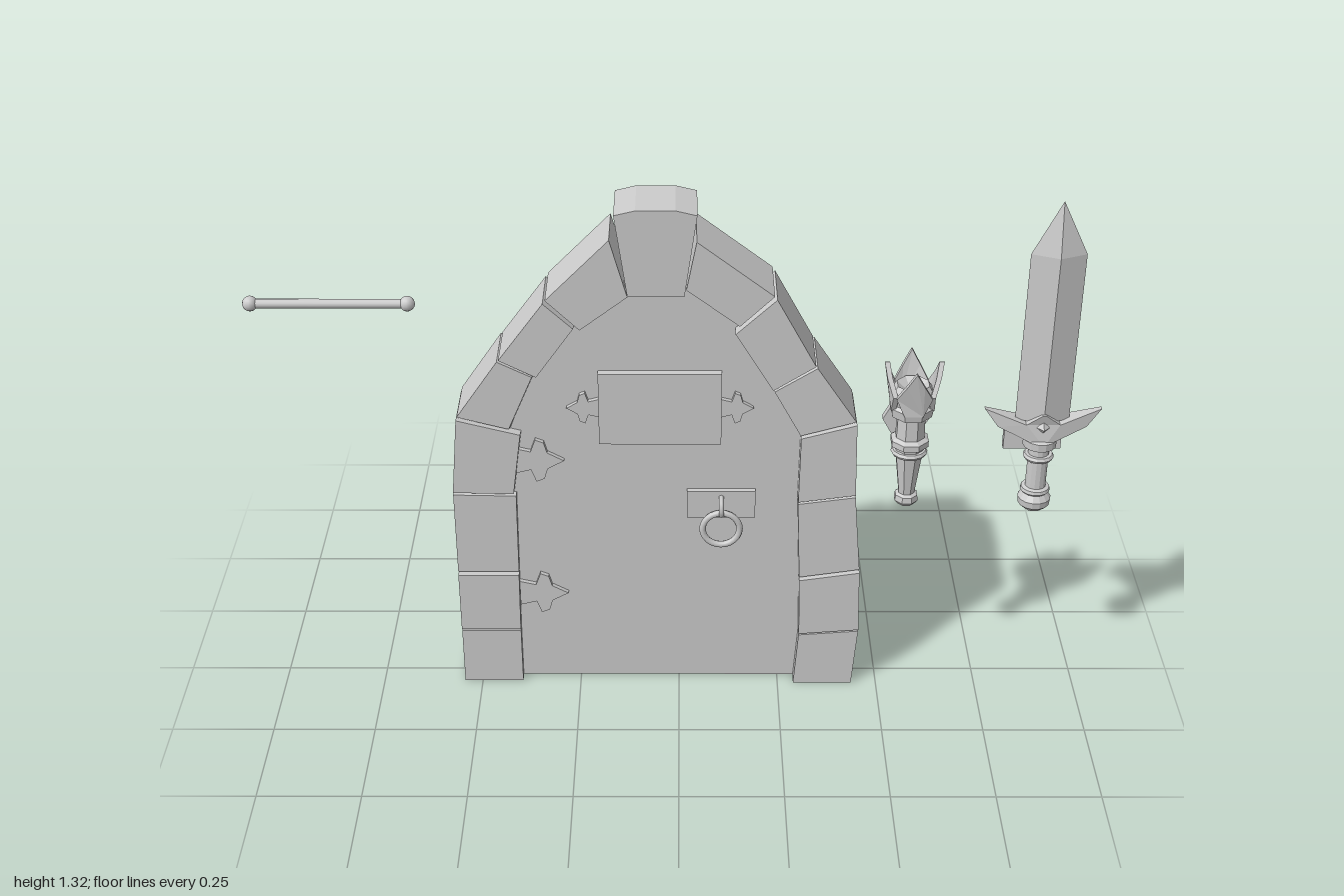
import * as THREE from 'three';

const material = new THREE.MeshStandardMaterial({ color: 0xcccccc, flatShading: true });
const smooth = new THREE.MeshStandardMaterial({ color: 0xcccccc });

function add(parent, name, geometry, x = 0, y = 0, z = 0, mat = material) {
  const mesh = new THREE.Mesh(geometry, mat);
  mesh.name = name;
  mesh.position.set(x, y, z);
  parent.add(mesh);
  return mesh;
}

function group(parent, name, x = 0, y = 0, z = 0) {
  const g = new THREE.Group();
  g.name = name;
  g.position.set(x, y, z);
  parent.add(g);
  return g;
}

// Flat outline extruded from z0 to z1
function prism(points, z0, z1) {
  const shape = new THREE.Shape(points.map(([x, y]) => new THREE.Vector2(x, y)));
  return new THREE.ExtrudeGeometry(shape, { depth: z1 - z0, bevelEnabled: false }).translate(0, 0, z0);
}

// Completes a half outline by reflecting it in the x or y axis
const mirrorX = (half) => [...half, ...half.map(([x, y]) => [-x, y]).reverse()];
const mirrorY = (half) => [...half, ...half.map(([x, y]) => [x, -y]).reverse()];

function lathe(points, sides) {
  return new THREE.LatheGeometry(points.map(([r, y]) => new THREE.Vector2(r, y)), sides, Math.PI / sides);
}

// Moves every vertex by a rule
function reshape(geometry, rule) {
  const p = geometry.attributes.position;
  const v = new THREE.Vector3();
  for (let i = 0; i < p.count; i++) {
    rule(v.fromBufferAttribute(p, i));
    p.setXYZ(i, v.x, v.y, v.z);
  }
  geometry.computeVertexNormals();
  return geometry;
}

// Stones fill the spaces between joints [outer x, outer y, inner x, inner y];
// splay pulls a stone's inner front edge outwards
function addStones(arch, joints, splays, z1) {
  const mix = (a, b, t) => a.map((value, k) => value + (b[k] - value) * t);
  splays.forEach((splay, i) => {
    const low = mix(joints[i], joints[i + 1], i ? 0.02 : 0);
    const high = mix(joints[i], joints[i + 1], 0.98);
    const z0 = i % 2 ? -0.09 : -0.097;
    const corners = [low.slice(0, 2), high.slice(0, 2), high.slice(2), low.slice(2)];
    const stone = reshape(prism(corners, z0, z1 + (i % 2) * 0.004), (v) => {
      for (const [ox, oy, ix, iy] of [low, high]) {
        if (v.z > 0 && Math.hypot(v.x - ix, v.y - iy) < 0.0005) {
          v.x += (ox - ix) * splay;
          v.y += (oy - iy) * splay;
        }
      }
    });
    add(arch, 'stone', stone);
  });
}

function addArch(root) {
  const arch = group(root, 'stoneArch');
  const left = [[-0.545, 0, -0.397, 0], [-0.545, 0.159, -0.397, 0.159], [-0.545, 0.33, -0.395, 0.33],
    [-0.545, 0.563, -0.393, 0.56], [-0.527, 0.772, -0.37, 0.73], [-0.422, 0.926, -0.32, 0.874],
    [-0.31, 1.079, -0.23, 1.003], [-0.155, 1.237, -0.115, 1.09]];
  const right = [[0.437, 0, 0.29, 0], [0.449, 0.165, 0.3, 0.153], [0.444, 0.344, 0.296, 0.321],
    [0.425, 0.562, 0.287, 0.543], [0.42, 0.765, 0.289, 0.728], [0.32, 0.915, 0.222, 0.852],
    [0.222, 1.095, 0.128, 1.006], [0.036, 1.237, 0.01, 1.095]];
  addStones(arch, left, [0, 0, 0, 0.04, 0.22, 0.15, 0.02], 0.05);
  addStones(arch, right, [0, 0, 0, 0, 0, 0, 0.15], 0.06);
  const keystone = mirrorX([[0.065, 1.093], [0.094, 1.295], [0.045, 1.307]]);
  add(arch, 'keystone', prism(keystone, -0.088, 0.052), -0.053);
}

// Barbed strap end pointing to +x
const strap = mirrorY([[0.12, 0], [0.08, 0.022], [0.072, 0.05], [0.052, 0.058], [0.04, 0.025], [0, 0.035]]
  .reverse()).filter(([, y], i) => y !== 0 || i < 6);

function addDoor(root) {
  const door = group(root, 'door');
  const leaf = mirrorX([[0.375, 0.005], [0.37, 0.74], [0.3, 0.875], [0.2, 1.02], [0.07, 1.12]]);
  add(door, 'doorLeaf', prism(leaf, -0.068, 0.03), -0.053);
  for (const y of [0.65, 0.265]) add(door, 'hinge', prism(strap, 0.025, 0.042), -0.395, y);

  // Shuttered window with a strap on each side
  add(door, 'windowPanel', new THREE.BoxGeometry(0.29, 0.19, 0.025), -0.045, 0.795, 0.035);
  for (const side of [-1, 1]) {
    const s = add(door, 'windowStrap', prism(strap, 0.025, 0.042), -0.045 + side * 0.143, 0.795);
    s.scale.set(0.65, 0.7, 1);
    if (side < 0) s.rotation.z = Math.PI;
  }

  // Ring handle
  add(door, 'handlePlate', new THREE.BoxGeometry(0.165, 0.075, 0.02), 0.102, 0.528, 0.034);
  const eye = add(door, 'handleEye', new THREE.TorusGeometry(0.022, 0.007, 6, 16), 0.102, 0.527, 0.05, smooth);
  eye.rotation.y = Math.PI / 2;
  add(door, 'handleRing', new THREE.TorusGeometry(0.045, 0.008, 8, 24), 0.102, 0.467, 0.058, smooth);
}

// Arm and cuff holding an item to its wall plate
function addMount(parent, y, radius) {
  add(parent, 'plateStud', new THREE.OctahedronGeometry(0.015), 0, y, -0.11);
  add(parent, 'mountArm', new THREE.BoxGeometry(0.04, 0.03, 0.08), 0, y, -0.06);
  const cuff = add(parent, 'mountCuff', new THREE.TorusGeometry(radius, 0.008, 6, 14), 0, y, 0);
  cuff.rotation.x = Math.PI / 2;
}

function addTorch(root) {
  const torch = group(root, 'torch', 0.548, 0, 0.04);
  add(torch, 'torchBody', lathe([[0, 0.533], [0.022, 0.535], [0.03, 0.545], [0.028, 0.56], [0.02, 0.565],
    [0.036, 0.695], [0.047, 0.7], [0.047, 0.715], [0.036, 0.722], [0.035, 0.775], [0.05, 0.782],
    [0.054, 0.805], [0.046, 0.812], [0.054, 0.84], [0.04, 0.862], [0, 0.83]], 8));
  // Four pointed leaves around the bowl, curling outwards
  const outline = mirrorX([[0.022, 0.8], [0.042, 0.845], [0.02, 0.885], [0.001, 0.92]]);
  for (let i = 0; i < 4; i++) {
    const leaf = reshape(prism(outline, 0.042, 0.054), (v) => {
      v.z += 0.13 * (v.y - 0.8) - 6 * v.x ** 2;
    });
    add(torch, 'torchLeaf', leaf).rotation.y = i * Math.PI / 2;
  }
  add(torch, 'wallPlate', prism([[0, 0.61], [0.056, 0.71], [0, 0.815], [-0.056, 0.71]], -0.115, -0.096));
  addMount(torch, 0.68, 0.036);
}

function addSword(root) {
  const sword = group(root, 'sword', 0.86, 0, 0.028);
  // Diamond section blade and point
  const blade = add(sword, 'blade', new THREE.CylinderGeometry(0.064, 0.064, 0.43, 4), 0, 0.975);
  const tip = add(sword, 'bladeTip', new THREE.ConeGeometry(0.064, 0.13, 4), 0, 1.255);
  blade.scale.z = tip.scale.z = 0.42;

  // Crossguard thinning towards its tips
  const outline = mirrorX([[0.005, 0.7], [0.03, 0.712], [0.105, 0.745], [0.138, 0.79], [0.04, 0.757],
    [0.005, 0.785]]);
  add(sword, 'crossguard', reshape(prism(outline, -0.034, 0.034), (v) => {
    v.z *= 1 - 6 * Math.abs(v.x);
  }));
  add(sword, 'guardBoss', new THREE.OctahedronGeometry(0.042), 0, 0.75);

  add(sword, 'grip', lathe([[0, 0.51], [0.022, 0.513], [0.038, 0.528], [0.04, 0.545], [0.03, 0.56],
    [0.036, 0.566], [0.034, 0.574], [0.025, 0.577], [0.025, 0.685], [0.04, 0.69], [0.041, 0.71],
    [0.026, 0.716], [0.024, 0.74]], 14));
  add(sword, 'wallPlate', new THREE.BoxGeometry(0.14, 0.07, 0.018), 0, 0.66, -0.097);
  addMount(sword, 0.66, 0.029);
}

function addRod(root) {
  const rod = group(root, 'rod', -0.802, 1.07, 0.04);
  const bar = add(rod, 'bar', new THREE.CylinderGeometry(0.011, 0.011, 0.36, 12), 0, 0, 0, smooth);
  bar.rotation.z = Math.PI / 2;
  for (const side of [-1, 1]) add(rod, 'endBall', new THREE.SphereGeometry(0.018, 12, 8), side * 0.18, 0, 0, smooth);
}

export function createModel() {
  const root = new THREE.Group();
  root.name = 'doorSet';
  addArch(root);
  addDoor(root);
  addTorch(root);
  addSword(root);
  addRod(root);
  return root;
}
